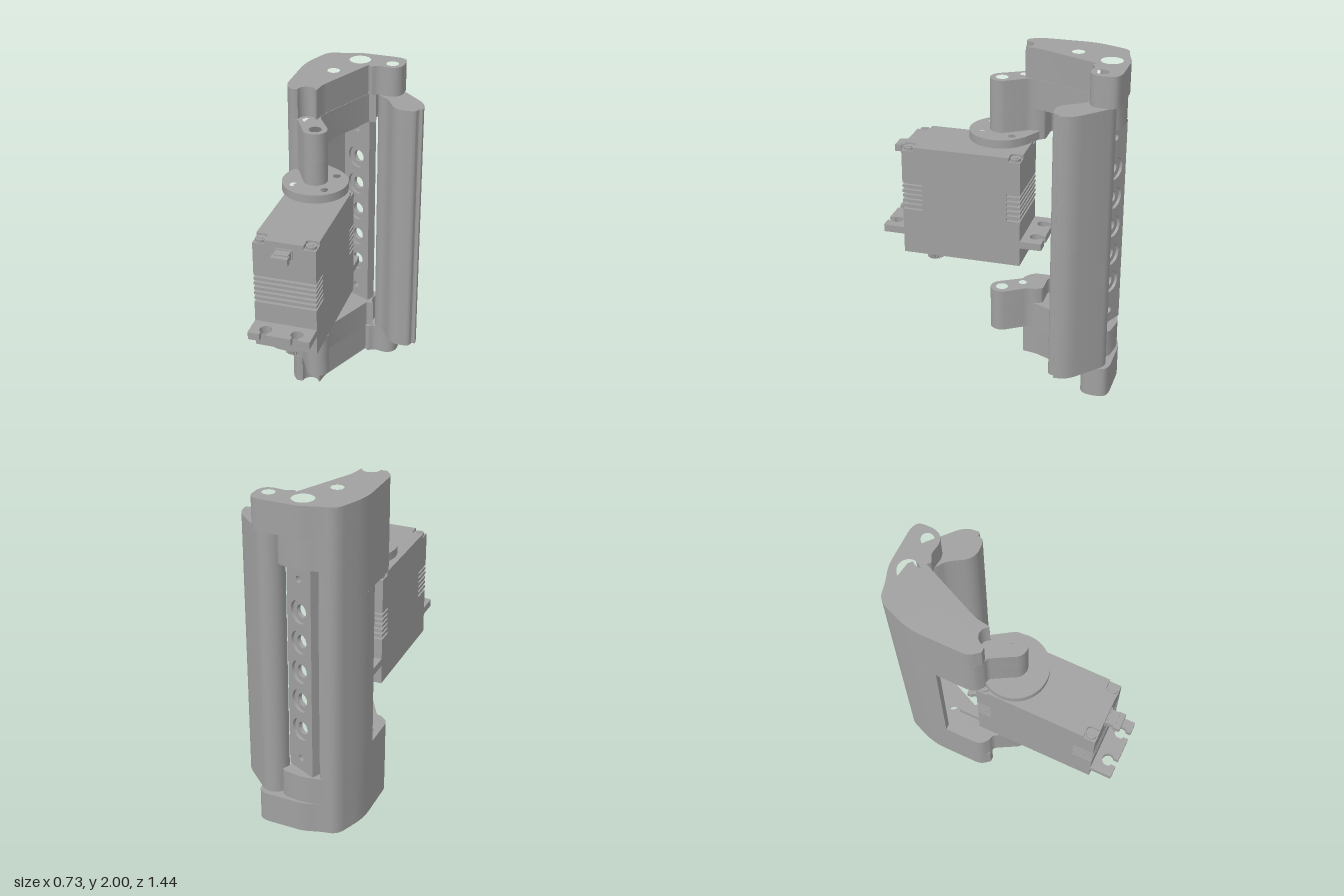
import * as THREE from 'three';
import { toCreasedNormals } from 'three/addons/utils/BufferGeometryUtils.js';

const grey = new THREE.MeshStandardMaterial({ color: 0xa0a0a0 });
grey.name = 'machined grey';

// Outline from [x, z, cornerRadius] points
function outline(points, holes = []) {
  const s = new THREE.Shape();
  const p = points.map(([x, z]) => new THREE.Vector2(x, -z));
  p.forEach((c, i) => {
    const prev = p[(i + p.length - 1) % p.length], next = p[(i + 1) % p.length];
    const r = points[i][2] || 0;
    const step = (to) => c.clone().add(to.clone().sub(c).setLength(Math.min(r, c.distanceTo(to) * 0.49)));
    const a = r ? step(prev) : c;
    if (i) s.lineTo(a.x, a.y); else s.moveTo(a.x, a.y);
    if (r) { const b = step(next); s.quadraticCurveTo(c.x, c.y, b.x, b.y); }
  });
  s.closePath();
  for (const [x, z, r] of holes) s.holes.push(new THREE.Path().absarc(x, -z, r, 0, Math.PI * 2, true));
  return s;
}

// Points along an arc in the x/z plane, angles in degrees
function arc(x, z, r, from, to, n = 10) {
  return Array.from({ length: n + 1 }, (_, i) => {
    const a = THREE.MathUtils.degToRad(from + (to - from) * i / n);
    return [x + r * Math.cos(a), z + r * Math.sin(a)];
  });
}

function add(group, name, geometry, x = 0, y = 0, z = 0) {
  const m = new THREE.Mesh(geometry, grey);
  m.name = name;
  m.position.set(x, y, z);
  group.add(m);
  return m;
}

// Upright prism between two heights
function prism(group, name, shape, y0, y1) {
  const g = new THREE.ExtrudeGeometry(shape, { depth: y1 - y0, bevelEnabled: false, curveSegments: 14 });
  g.rotateX(-Math.PI / 2);
  return add(group, name, toCreasedNormals(g, 0.6), 0, y0, 0);
}

function box(group, name, x0, x1, y0, y1, z0, z1) {
  return add(group, name, new THREE.BoxGeometry(x1 - x0, y1 - y0, z1 - z0),
    (x0 + x1) / 2, (y0 + y1) / 2, (z0 + z1) / 2);
}

function cyl(group, name, r, y0, y1, x, z, sides = 28) {
  const g = new THREE.CylinderGeometry(r, r, y1 - y0, sides);
  return add(group, name, g, x, (y0 + y1) / 2, z);
}

const outerWall = [[-0.365, -0.47, 0.08], [-0.285, -0.675, 0.06], [-0.19, -0.69, 0.05]];
const lugTip = [[-0.365, -0.12, 0.05], [-0.31, -0.075, 0.02], [-0.28, -0.07, 0.02]];
const lugRound = [...arc(-0.145, 0.03, 0.07, 145, -30), [-0.165, -0.13, 0.03]];
const lugHoles = [[-0.23, -0.08, 0.025], [-0.145, 0.03, 0.037]];

function buildFrame() {
  const g = new THREE.Group();
  g.name = 'frame';
  // End plates with pivot holes and a scallop round the link pin
  const endPlate = outline([
    ...outerWall, [-0.09, -0.722, 0.04], [0.15, -0.715, 0.03], [0.2, -0.69, 0.04], [0.2, -0.575, 0.05],
    [0.15, -0.535, 0.04], [0.06, -0.55, 0.02], [0.02, -0.525, 0.01], [0, -0.545],
    [-0.165, -0.18, 0.03], [-0.175, -0.1, 0.02], ...arc(-0.23, -0.08, 0.052, -20, -180, 8),
    [-0.29, -0.075], [-0.32, -0.075], [-0.365, -0.13, 0.04],
  ], [[-0.17, -0.405, 0.037], [0.13, -0.605, 0.037], [-0.07, -0.615, 0.063]]);
  prism(g, 'lowerEndPlate', endPlate, 0, 0.19);
  prism(g, 'upperEndPlate', endPlate, 1.82, 2);

  // Solid shoulders that carry the link lugs and clear the finger hinge
  const shoulder = outline([
    ...outerWall, [-0.09, -0.71, 0.04], [0.03, -0.69], ...arc(0.13, -0.605, 0.1, 220, 145, 8),
    [0.005, -0.55], [-0.165, -0.17], ...[...lugRound].reverse(), ...[...lugTip].reverse(),
  ].slice(0), [...lugHoles, [-0.17, -0.405, 0.037]]);
  prism(g, 'lowerShoulder', shoulder, 0.19, 0.36);
  prism(g, 'upperShoulder', shoulder, 1.64, 1.82);

  // Lugs joined to the thin outer wall beside the pocket
  const lug = outline([
    ...outerWall, [-0.18, -0.675], [-0.33, -0.35], [-0.33, -0.22, 0.03], [-0.185, -0.22, 0.02],
    [-0.165, -0.17], ...[...lugRound].reverse(), ...[...lugTip].reverse(),
  ], lugHoles);
  prism(g, 'lowerLug', lug, 0.36, 0.46);
  prism(g, 'upperLug', lug, 1.45, 1.64);

  // Wedge-shaped back wall
  prism(g, 'backWall', outline([...outerWall, [-0.18, -0.68], [-0.33, -0.35], [-0.365, -0.35]]), 0.46, 1.45);
  return g;
}

function buildFinger() {
  const g = new THREE.Group();
  g.name = 'finger';
  prism(g, 'hookedFinger', outline([
    ...arc(0.13, -0.605, 0.08, 120, 310, 16), [0.355, -0.505, 0.06], [0.365, -0.42, 0.01],
    [0.34, -0.42, 0.01], [0.33, -0.38, 0.03], [0.21, -0.375, 0.07], [0.13, -0.51, 0.06],
  ], [[0.13, -0.605, 0.037]]), 0.19, 1.815);
  return g;
}

function buildSensorBar() {
  const bar = new THREE.Group();
  bar.name = 'perforatedBar';
  // Slanted bar, with wide counterbores on both faces
  const layer = (name, r, z0, z1) => {
    const s = outline([[-0.1, -0.37], [0.1, -0.37], [0.1, -1.64], [-0.1, -1.64]]);
    for (let i = 0; i < 5; i++) {
      s.holes.push(new THREE.Path().absarc(0, 0.64 + i * 0.182, r, 0, Math.PI * 2, true));
    }
    for (const y of [0.45, 1.56]) s.holes.push(new THREE.Path().absarc(0, y, 0.02, 0, Math.PI * 2, true));
    const geo = new THREE.ExtrudeGeometry(s, { depth: z1 - z0, bevelEnabled: false, curveSegments: 14 });
    add(bar, name, toCreasedNormals(geo, 0.6), 0, 0, z0);
  };
  layer('rearCounterbores', 0.068, -0.03, -0.012);
  layer('boltHoles', 0.038, -0.012, 0.012);
  layer('frontCounterbores', 0.068, 0.012, 0.03);
  bar.position.set(-0.07, 0, -0.632);
  bar.rotation.y = -0.46;
  return bar;
}

function buildServo() {
  const g = new THREE.Group();
  g.name = 'servo';
  const x0 = -0.327, x1 = 0.035, z0 = -0.128, z1 = 0.592, mid = (x0 + x1) / 2;
  box(g, 'lowerCase', x0, x1, 0.715, 1.0, z0, z1);
  box(g, 'upperCase', x0, x1, 1.17, 1.375, z0, z1);
  // Cooling grooves at both ends
  box(g, 'ribbedCore', x0, x1, 1.0, 1.17, -0.045, 0.47);
  box(g, 'grooveFloor', x0 + 0.02, x1 - 0.02, 1.0, 1.17, z0 + 0.02, z1 - 0.02);
  for (let i = 0; i < 5; i++) {
    const y = 1.016 + i * 0.031;
    box(g, 'coolingRib', x0, x1, y, y + 0.017, z0, z1);
  }
  // Lid with notched corners and screws
  const n = 0.07;
  prism(g, 'lid', outline([
    [x0 + n, z0, 0], [x1 - n, z0], [x1 - n, z0 + n, 0.02], [x1, z0 + n], [x1, z1 - n], [x1 - n, z1 - n, 0.02],
    [x1 - n, z1], [x0 + n, z1], [x0 + n, z1 - n, 0.02], [x0, z1 - n], [x0, z0 + n], [x0 + n, z0 + n, 0.02],
  ]), 1.375, 1.4);
  for (const x of [x0 + 0.037, x1 - 0.037]) for (const z of [z0 + 0.037, z1 - 0.037]) {
    cyl(g, 'lidScrew', 0.03, 1.375, 1.392, x, z, 20);
    cyl(g, 'lidScrewSocket', 0.016, 1.392, 1.396, x, z, 6);
  }
  // Mounting ears with open slots
  for (const s of [1, -1]) {
    const zc = (z0 + z1) / 2, at = (d) => zc + s * (0.36 + d);
    const slot = (x) => [[x - 0.02, at(0.13)], [x - 0.02, at(0.1)],
      ...arc(x, at(0.075), 0.036, s * 125, s * 415, 14), [x + 0.02, at(0.1)], [x + 0.02, at(0.13)]];
    prism(g, 'mountingEar', outline([
      [x0, at(0)], [x0, at(0.13), 0.01], ...slot(-0.237), ...slot(-0.055), [x1, at(0.13), 0.01], [x1, at(0)],
    ]), 0.832, 0.876);
  }
  // Cable socket
  box(g, 'socketFrame', mid - 0.05, mid + 0.05, 1.305, 1.365, z1, z1 + 0.008);
  box(g, 'cablePlug', -0.188, -0.104, 1.312, 1.358, z1, 0.65);
  box(g, 'cablePlugTip', -0.195, -0.097, 1.31, 1.352, 0.64, 0.68);
  // Gear cover and toothed output shaft
  prism(g, 'gearCover', outline([
    [-0.27, 0.0, 0.05], [-0.02, 0.0, 0.05], [-0.02, 0.58, 0.1], [-0.27, 0.58, 0.1],
  ]), 0.695, 0.715);
  cyl(g, 'shaftCollar', 0.1, 0.685, 0.697, mid, 0.455);
  const teeth = Array.from({ length: 40 }, (_, i) => {
    const a = i / 40 * Math.PI * 2, r = i % 2 ? 0.052 : 0.043;
    return [mid + r * Math.cos(a), 0.455 + r * Math.sin(a)];
  });
  prism(g, 'outputShaft', outline(teeth, [[mid, 0.455, 0.018]]), 0.615, 0.69);
  return g;
}

function buildHorn() {
  const g = new THREE.Group();
  g.name = 'driveHorn';
  const holes = [0, 1, 2, 3].map((i) => {
    const a = THREE.MathUtils.degToRad(50 + i * 90);
    return [-0.147 + 0.133 * Math.cos(a), 0.03 + 0.133 * Math.sin(a), 0.023];
  });
  prism(g, 'hornDisc', outline([
    ...arc(-0.147, 0.03, 0.19, -35, 220, 40), [-0.2, -0.16], [-0.16, -0.19], [-0.045, -0.13, 0.03],
  ], holes), 1.455, 1.505);
  return g;
}

export function createModel() {
  const model = new THREE.Group();
  model.name = 'gripper';
  model.add(buildFrame(), buildFinger(), buildSensorBar(), buildServo(), buildHorn());
  return model;
}
